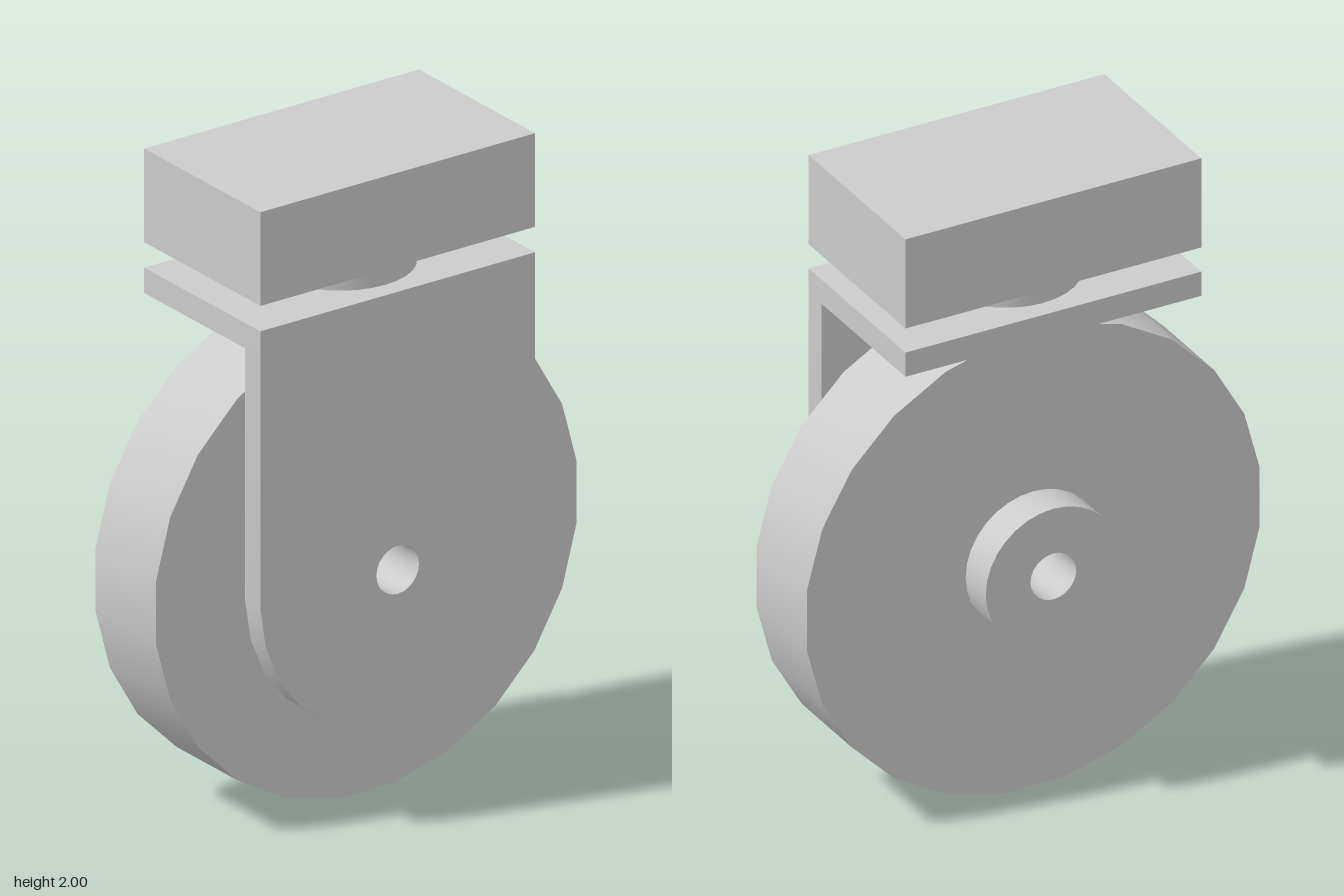
import * as THREE from 'three';
import { toCreasedNormals } from 'three/addons/utils/BufferGeometryUtils.js';

const AXLE_Y = 0.75, BORE = 0.076;
const HALF_W = 0.49, HALF_D = 0.286;

// Points on an arc about the origin
function arc(radius, start, sweep, steps) {
  return Array.from({ length: steps + 1 }, (_, i) => {
    const a = start + (sweep * i) / steps;
    return new THREE.Vector2(Math.cos(a) * radius, Math.sin(a) * radius);
  });
}

// Closed ring of points; the offset turns it by a part of one side
function ring(radius, sides, offset = 0) {
  const step = (Math.PI * 2) / sides;
  return arc(radius, offset * step, Math.PI * 2 - step, sides - 1);
}

// Outline with the axle bore, extruded from z0 to z1
function boredPlate(points, z0, z1) {
  const shape = new THREE.Shape(points);
  shape.holes.push(new THREE.Path(ring(BORE, 24)));
  const geometry = new THREE.ExtrudeGeometry(shape, { depth: z1 - z0, bevelEnabled: false });
  geometry.translate(0, AXLE_Y, z0);
  return toCreasedNormals(geometry, Math.PI / 6);
}

export function createModel() {
  const model = new THREE.Group();
  model.name = 'caster';
  const grey = new THREE.MeshStandardMaterial({ color: 0xcccccc });
  const thin = new THREE.MeshStandardMaterial({ color: 0xcccccc, side: THREE.DoubleSide });

  function add(name, geometry, material = grey) {
    const mesh = new THREE.Mesh(geometry, material);
    mesh.name = name;
    model.add(mesh);
    return mesh;
  }

  // Wheel with flats at bottom and sides, and its rear hub
  add('wheel', boredPlate(ring(0.7565, 24, 0.5), -0.167, 0.131));
  add('hub', boredPlate(ring(0.224, 32), -HALF_D, -0.167));

  // Open sleeve bridging the gap between wheel and bracket
  const sleeve = new THREE.CylinderGeometry(BORE, BORE, 0.08, 24, 1, true);
  sleeve.rotateX(Math.PI / 2);
  add('axleSleeve', sleeve, thin).position.set(0, AXLE_Y, 0.171);

  // Bracket: round-ended front plate and the shelf behind it
  const outline = [
    new THREE.Vector2(HALF_W, 1.625 - AXLE_Y),
    new THREE.Vector2(-HALF_W, 1.625 - AXLE_Y),
    ...arc(0.487, Math.PI, Math.PI, 12),
  ];
  outline[2].x = -HALF_W;
  outline[outline.length - 1].x = HALF_W;
  add('bracketPlate', boredPlate(outline, 0.211, HALF_D));
  add('bracketShelf', new THREE.BoxGeometry(HALF_W * 2, 0.08, HALF_D + 0.211))
    .position.set(0, 1.585, (0.211 - HALF_D) / 2);

  // Swivel and mounting block
  add('swivel', new THREE.CylinderGeometry(0.224, 0.224, 0.08, 32)).position.y = 1.665;
  add('mountingBlock', new THREE.BoxGeometry(HALF_W * 2, 0.295, HALF_D * 2)).position.y = 1.8525;

  return model;
}
